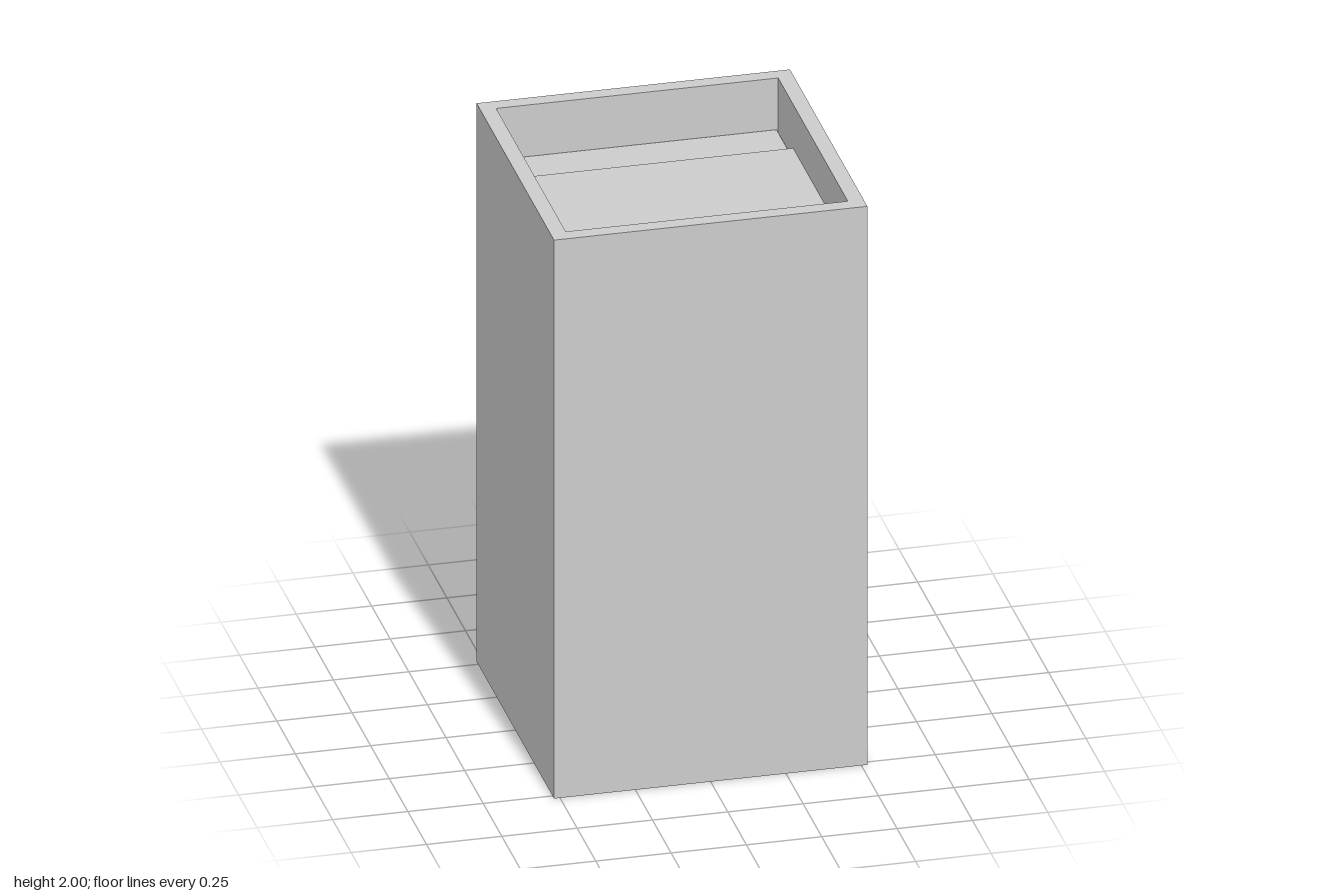
import * as THREE from 'three';

const OUTER = 0.52, INNER = 0.468, HEIGHT = 2;
const POCKET_Y = 1.805, LID_Y = 1.818, FLOOR_Y = 1.843;
const FLOOR_BACK = -0.268;

const material = new THREE.MeshStandardMaterial({ color: 0xcccccc, flatShading: true });

// Box given by its minimum and maximum corners
function block(name, x0, x1, y0, y1, z0, z1) {
  const mesh = new THREE.Mesh(new THREE.BoxGeometry(x1 - x0, y1 - y0, z1 - z0), material);
  mesh.position.set((x0 + x1) / 2, (y0 + y1) / 2, (z0 + z1) / 2);
  mesh.name = name;
  return mesh;
}

export function createModel() {
  const model = new THREE.Group();
  model.name = 'squarePlanter';

  // Square shell with a recessed top: a four-sided lathe turned by 45 degrees
  const profile = [
    [0, 0], [OUTER, 0], [OUTER, HEIGHT], [INNER, HEIGHT], [INNER, POCKET_Y], [0, POCKET_Y],
  ].map(([half, y]) => new THREE.Vector2(half * Math.SQRT2, y));
  const shellGeometry = new THREE.LatheGeometry(profile, 4, Math.PI / 4).toNonIndexed();
  shellGeometry.computeVertexNormals();
  const shell = new THREE.Mesh(shellGeometry, material);
  shell.name = 'shell';
  model.add(shell);

  // Raised main floor, leaving a narrow pocket along the back
  model.add(block('mainFloor', -INNER, INNER, POCKET_Y - 0.02, FLOOR_Y, FLOOR_BACK, INNER));

  // Loose strip lid sunk in the back pocket, with a thin gap around it
  model.add(block('backLid', -0.461, 0.461, POCKET_Y - 0.02, LID_Y, -0.463, -0.274));

  return model;
}
